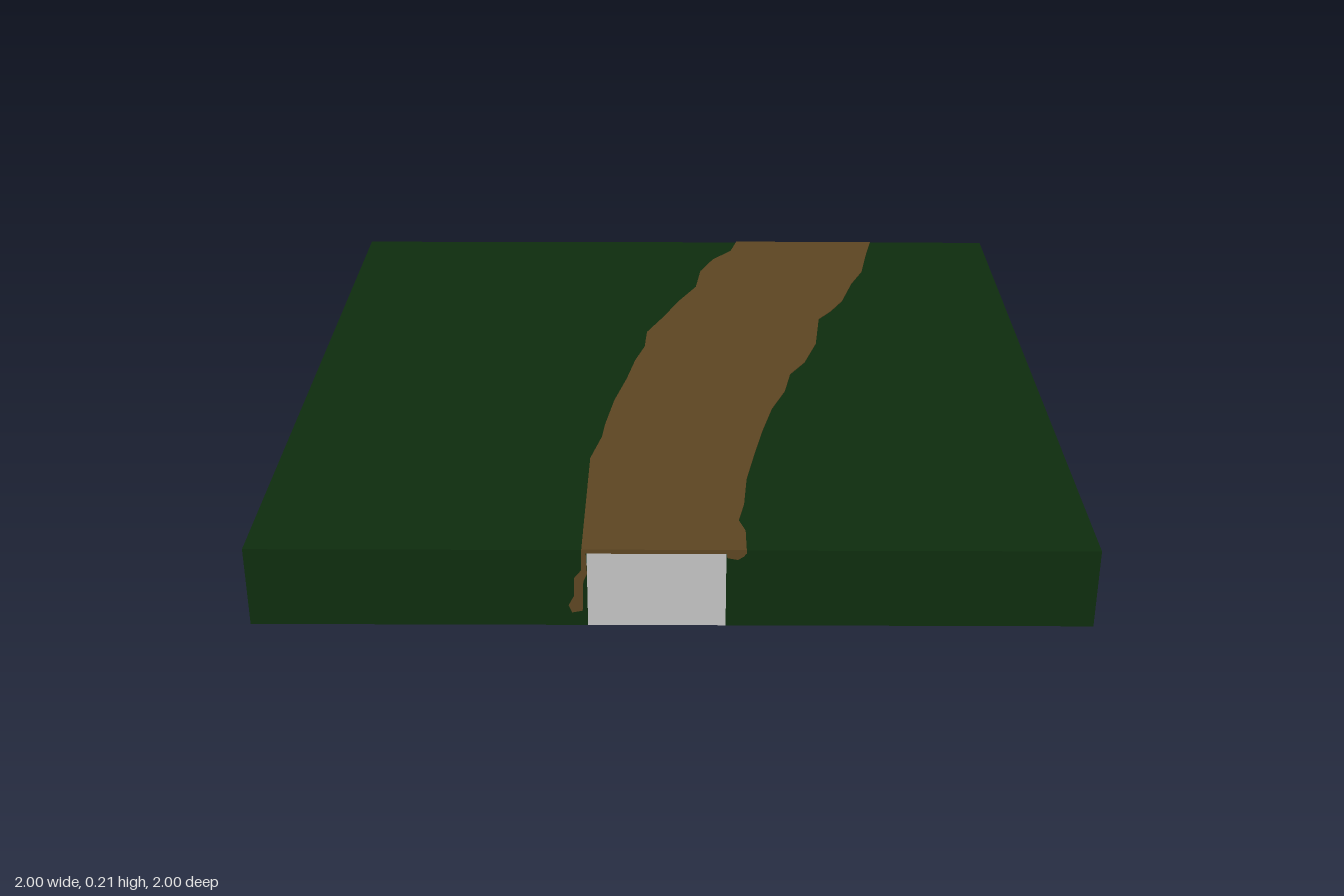
import * as THREE from 'three';

const mat = (name, color) => new THREE.MeshStandardMaterial({ name, color });

// Path edges as [x, z], from back to front
const LEFT_EDGE = [
  [0.2, -1], [0.18, -0.92], [0.12, -0.84], [0.08, -0.74], [0.065, -0.61], [0.01, -0.49],
  [-0.03, -0.38], [-0.08, -0.26], [-0.085, -0.155], [-0.11, -0.06], [-0.13, 0.06],
  [-0.16, 0.2], [-0.18, 0.35], [-0.185, 0.42], [-0.21, 0.54], [-0.21, 1],
];
const RIGHT_EDGE = [
  [0.64, -1], [0.615, -0.88], [0.59, -0.74], [0.55, -0.64], [0.51, -0.5], [0.47, -0.42],
  [0.43, -0.36], [0.41, -0.18], [0.37, -0.05], [0.325, 0.03], [0.305, 0.14], [0.265, 0.25],
  [0.235, 0.38], [0.21, 0.51], [0.185, 0.65], [0.175, 0.78], [0.16, 0.86], [0.175, 0.91], [0.175, 1],
];

// Extrudes a ground outline of [x, z] points from y0 up to y1
function slab(name, outline, y0, y1, material) {
  const shape = new THREE.Shape(outline.map(([x, z]) => new THREE.Vector2(x, -z)));
  const geo = new THREE.ExtrudeGeometry(shape, { depth: y1 - y0, bevelEnabled: false });
  geo.rotateX(-Math.PI / 2).translate(0, y0, 0);
  const mesh = new THREE.Mesh(geo, material);
  mesh.name = name;
  return mesh;
}

export function createModel() {
  const grass = mat('dark green grass', 0x0e2d0e);
  const dirt = mat('brown dirt', 0x5e4622);
  const stone = mat('light grey underside', 0xc4c4c4);
  const group = new THREE.Group();
  group.name = 'pathTile';

  // The core under the path is slightly narrower than the path
  const coreLeft = LEFT_EDGE.map(([x, z]) => [x + 0.012, z]);
  const coreRight = RIGHT_EDGE.map(([x, z]) => [Math.min(x - 0.047, 0.557), z]);

  // Grass on either side of the core
  group.add(slab('grassLeftOfPath', [[-1, -1], ...coreLeft, [-1, 1]], 0, 0.205, grass));
  group.add(slab('grassRightOfPath', [[1, -1], ...coreRight, [1, 1]], 0, 0.205, grass));
  group.add(slab('pathCore', [...coreLeft, ...coreRight.slice().reverse()], 0, 0.196, stone));

  // Dirt surface, a hair proud of the grass on top and at both ends
  const proud = ([x, z]) => [x, Math.abs(z) === 1 ? z * 1.001 : z];
  const dirtOutline = [...LEFT_EDGE, ...RIGHT_EDGE.slice().reverse()].map(proud);
  group.add(slab('dirtPath', dirtOutline, 0.196, 0.207, dirt));

  // Dirt spilling down the front side
  const spills = [
    [[-0.2, 0.2], [-0.198, 0.14], [-0.207, 0.12], [-0.21, 0.04], [-0.235, 0.035], [-0.243, 0.055],
      [-0.23, 0.08], [-0.228, 0.13], [-0.212, 0.15], [-0.21, 0.2]],
    [[0.128, 0.2], [0.13, 0.185], [0.155, 0.18], [0.17, 0.19], [0.175, 0.2]],
  ];
  spills.forEach((points, i) => {
    const shape = new THREE.Shape(points.map(([x, y]) => new THREE.Vector2(x, y)));
    const geo = new THREE.ExtrudeGeometry(shape, { depth: 0.002, bevelEnabled: false });
    const mesh = new THREE.Mesh(geo, dirt);
    mesh.position.z = 0.999;
    mesh.name = i ? 'dirtSpillRight' : 'dirtSpillLeft';
    group.add(mesh);
  });
  return group;
}
